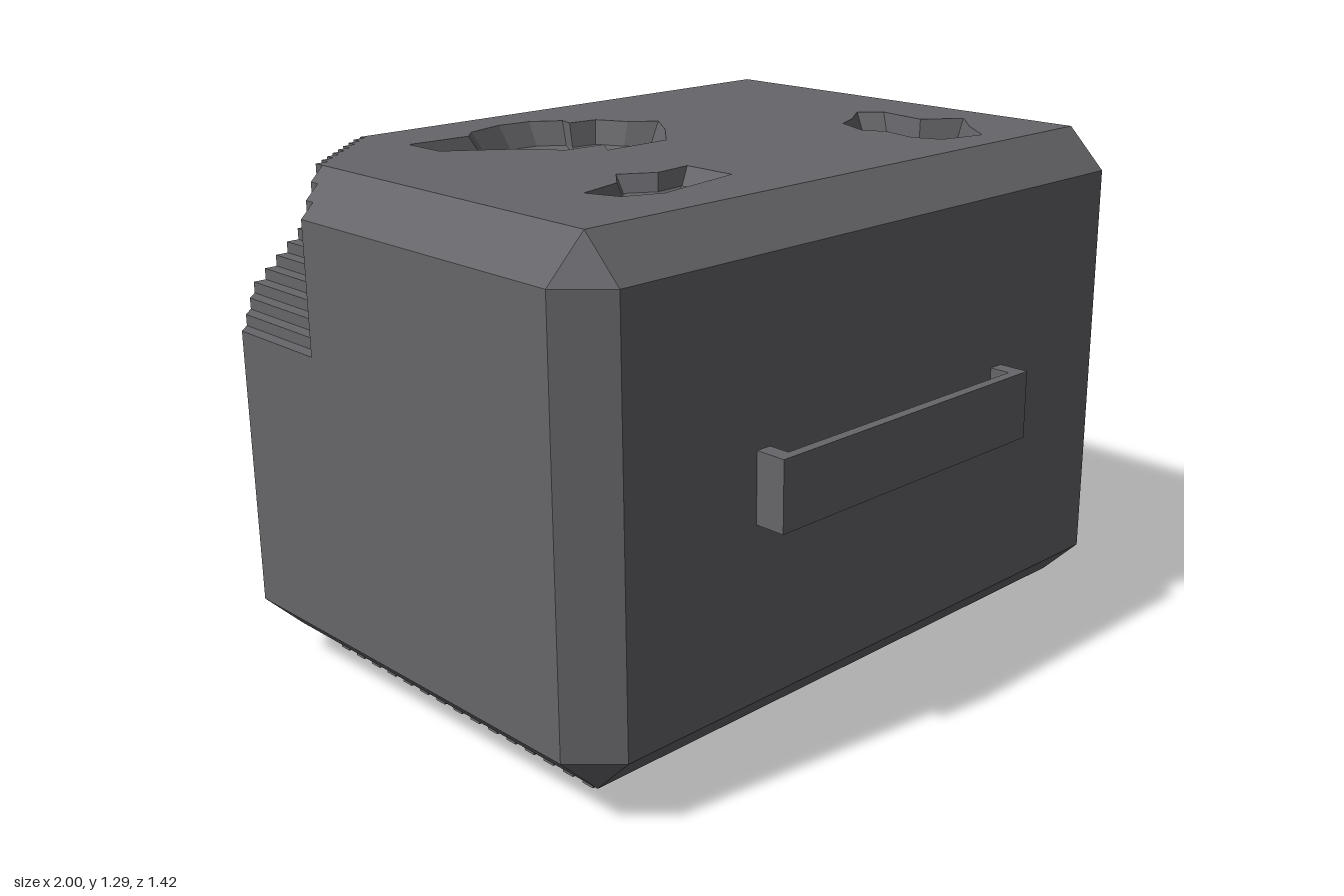
import * as THREE from 'three';
import { mergeGeometries } from 'three/addons/utils/BufferGeometryUtils.js';

const mat = new THREE.MeshStandardMaterial({ color: 0x66666a, flatShading: true });
const V = (x, y) => new THREE.Vector2(x, y);

// Body extents and chamfer
const X0 = -1, X1 = 0.83, Y0 = 0.07, Y1 = 1.29, Z0 = -0.71, Z1 = 0.635, C = 0.1;
// Stepped notch in one top corner
const STEPS = 11, stepX = i => X0 + i * C / 3;
const cutZ = i => -0.31 - 0.028 * i, cutY = i => 0.87 + 0.028 * i;

// Each plane maps flat (s, t) coordinates, facing +z, onto a side of the body
const planes = {
  top: g => g.rotateX(-Math.PI / 2).translate(0, Y1, 0),
  back: g => g.rotateY(Math.PI).translate(0, 0, Z0),
  right: x => g => g.rotateY(Math.PI / 2).translate(x, 0, 0),
  left: x => g => g.rotateY(-Math.PI / 2).translate(x, 0, 0),
};

function bare(g) {
  const n = g.index ? g.toNonIndexed() : g;
  n.deleteAttribute('uv');
  n.computeVertexNormals();
  return n;
}

function flat(points, holes, place) {
  const shape = new THREE.Shape(points);
  shape.holes = holes.map(h => new THREE.Path(h));
  return bare(place(new THREE.ShapeGeometry(shape)));
}

// Strips of quads between point loops; skip leaves out chosen sides
function loft(loops, closed, skip = () => false) {
  const pos = [];
  for (let k = 0; k + 1 < loops.length; k++) {
    const A = loops[k], B = loops[k + 1];
    for (let j = 0; j < A.length; j++) {
      if (skip(j)) continue;
      const n = (j + 1) % A.length;
      for (const p of [A[j], A[n], B[n], A[j], B[n], B[j]]) pos.push(...p);
    }
  }
  const g = new THREE.BufferGeometry();
  g.setAttribute('position', new THREE.Float32BufferAttribute(pos, 3));
  g.computeVertexNormals();
  return g;
}

// Cross-section [z, y] of the chamfered body at x, optionally notched
function section(x, step) {
  const d = Math.max(0, X0 + C - x, x - (X1 - C)), leg = C - d;
  const zb = Z0 + d, zf = Z1 - d, yb = Y0 + d, yt = Y1 - d;
  const cut = step < STEPS;
  const zc = cut ? cutZ(step) : zb + leg, yc = cut ? cutY(step) : yt - leg;
  const corner = cut ? [zc, yc] : [zb + leg / 2, yt - leg / 2];
  return [[zb, yb + leg], [zb, yc], corner, [zc, yt], [zf - leg, yt],
    [zf, yt - leg], [zf, yb + leg], [zf - leg, yb], [zb + leg, yb]];
}

// Irregular pit: the outline shrinks in terraces towards its floor
function crater(outline, centre, rings, place) {
  const pts = THREE.ShapeUtils.isClockWise(outline) ? outline.slice().reverse() : outline;
  const loops = rings.map(([s, d]) =>
    pts.map(p => [centre.x + (p.x - centre.x) * s, centre.y + (p.y - centre.y) * s, -d]));
  const last = loops[loops.length - 1];
  const floor = new THREE.ShapeGeometry(new THREE.Shape(last.map(p => V(p[0], p[1]))));
  floor.translate(0, 0, last[0][2]);
  return [bare(place(loft(loops))), bare(place(floor))];
}

function createBody() {
  const parts = [];
  const at = (x, s) => section(x, s).map(([z, y]) => [x, y, z]);
  // Notched slices, then the plain remainder
  for (let i = 0; i < STEPS; i++) {
    parts.push(loft([at(stepX(i), i), at(stepX(i + 1), i)], true,
      j => i >= 3 && (j === 0 || j === 3)));
    // Riser to the next step
    const x = stepX(i + 1), a = section(x, i), b = section(x, i + 1);
    parts.push(flat([a[1], a[2], a[3], b[3], b[2], b[1]].map(p => V(...p)), [], planes.left(x)));
  }
  const xe = stepX(STEPS);
  parts.push(loft([at(xe, STEPS), at(X1 - C, STEPS)], true, j => j === 0 || j === 3));
  parts.push(loft([at(X1 - C, STEPS), at(X1, STEPS)], true));
  // End faces
  const cornersL = section(X0, 0).filter((p, i) => [0, 1, 2, 3, 4, 6].includes(i));
  parts.push(flat(cornersL.map(p => V(...p)), [], planes.left(X0)));
  const cornersR = section(X1, STEPS).filter((p, i) => [0, 3, 4, 6].includes(i));
  parts.push(flat(cornersR.map(([z, y]) => V(-z, y)), [], planes.right(X1)));

  // Craters: [x, z] on top, [-x, y] on the back
  const list = a => a.map(([x, z]) => V(x, -z));
  const large = list([[-.61, -.44], [-.44, -.43], [-.40, -.47], [-.29, -.50], [-.20, -.49], [-.13, -.44],
    [-.14, -.40], [-.06, -.39], [-.02, -.31], [.04, -.26], [-.03, -.16], [-.13, -.05], [-.32, -.05],
    [-.28, -.11], [-.39, -.12], [-.45, -.20], [-.50, -.24], [-.61, -.32]]);
  const small = list([[-.68, .28], [-.56, .25], [-.50, .18], [-.42, .23], [-.32, .22], [-.32, .36],
    [-.56, .40], [-.65, .36]]);
  const medium = list([[.51, .01], [.56, .06], [.54, .20], [.63, .27], [.54, .36], [.47, .45],
    [.35, .42], [.32, .35], [.34, .25], [.31, .20], [.35, .10], [.42, .07]]);
  const rear = [[-.226, .73], [-.11, .815], [-.006, .79], [.115, .80], [.26, .84], [.197, .725],
    [.29, .66], [.156, .55], [.03, .585], [-.11, .61], [-.21, .635]].map(p => V(...p));
  parts.push(...crater(large, V(-.2, .25),
    [[1, 0], [.88, .06], [.7, .07], [.59, .12], [.4, .13], [.28, .17]], planes.top));
  parts.push(...crater(small, V(-.49, -.3), [[1, 0], [.82, .04], [.6, .05], [.45, .08]], planes.top));
  parts.push(...crater(medium, V(.46, -.25),
    [[1, 0], [.85, .07], [.62, .08], [.5, .12], [.32, .13]], planes.top));
  parts.push(...crater(rear, V(.03, .7), [[1, 0], [.85, .07], [.7, .08], [.55, .16]], planes.back));

  // Top and back faces with crater openings and stepped edges
  const top = [V(X0 + C, -(Z1 - C)), V(X1 - C, -(Z1 - C)), V(X1 - C, -(Z0 + C)), V(xe, -(Z0 + C))];
  const back = [V(-X0 - C, Y0 + C), V(-X1 + C, Y0 + C), V(-X1 + C, Y1 - C), V(-xe, Y1 - C)];
  for (let i = STEPS - 1; i >= 3; i--) {
    for (const x of [stepX(i + 1), stepX(i)]) {
      top.push(V(x, -cutZ(i)));
      back.push(V(-x, cutY(i)));
    }
  }
  parts.push(flat(top, [large, small, medium], planes.top));
  parts.push(flat(back, [rear], planes.back));
  return mergeGeometries(parts);
}

export function createModel() {
  const model = new THREE.Group();
  const add = (name, g, parent = model) => {
    const m = new THREE.Mesh(g, mat);
    m.name = name;
    parent.add(m);
    return m;
  };
  const box = (name, x0, x1, y0, y1, z0, z1, parent) =>
    add(name, new THREE.BoxGeometry(x1 - x0, y1 - y0, z1 - z0)
      .translate((x0 + x1) / 2, (y0 + y1) / 2, (z0 + z1) / 2), parent);
  const group = name => {
    const g = new THREE.Group();
    g.name = name;
    model.add(g);
    return g;
  };

  add('body', createBody());

  // Underside ribs, the front one broken in the middle
  const ribs = group('bottomRibs');
  for (let i = 0; i < 15; i++) {
    const z = 0.42 - i * 0.0677;
    const spans = i === 0 ? [[-.83, -.46], [-.395, -.36], [.19, .22], [.25, .655]]
      : i === 1 ? [[-.83, -.43], [.28, .655]] : [[-.83, .655]];
    for (const [a, b] of spans) box('rib', a, b, 0, Y0 + 0.005, z - 0.017, z + 0.017, ribs);
  }
  for (const [a, b] of [[-.33, -.3], [-.27, -.24], [-.17, .01], [.05, .08], [.12, .15]])
    box('ribStub', a, b, 0.055, Y0 + 0.005, 0.4, 0.46, ribs);

  // Front bar on two short legs
  const bar = group('frontHandle');
  box('bar', -.52, .34, .595, .765, .688, .713, bar);
  for (const x of [-.52, .3]) box('leg', x, x + .04, .595, .765, Z1 - .005, .69, bar);

  // Side handle: drilled outer plate, two chamfered ends and a back plate
  const handle = group('sideHandle');
  const W = .2025, H = .069, c = .025, D = .035;
  const plate = new THREE.Shape([V(W, -H + c), V(W, H - c), V(W - c, H), V(-W + c, H),
    V(-W, H - c), V(-W, -H + c), V(-W + c, -H), V(W - c, -H)]);
  for (const s of [-.103, .103]) plate.holes.push(new THREE.Path().absarc(s, 0, D, 0, Math.PI * 2, true));
  const pg = new THREE.ExtrudeGeometry(plate, { depth: D, bevelEnabled: false, curveSegments: 12 });
  const p = pg.attributes.position;
  for (let i = 0; i < p.count; i++) {
    const x = p.getX(i), y = p.getY(i);
    if (p.getZ(i) > D / 2 && (Math.abs(x) > .17 || Math.abs(y) > .05))
      p.setXY(i, x - Math.sign(x) * .018, y - Math.sign(y) * .018);
  }
  pg.computeVertexNormals();
  const place = (g, x) => g.rotateY(Math.PI / 2).translate(x, .682, -.0375);
  add('outerPlate', place(pg, 1 - D), handle);
  for (const s of [-1, 1]) {
    const end = new THREE.Shape([V(s * (W - .036), -H), V(s * (W - c), -H), V(s * W, -H + c),
      V(s * W, H - c), V(s * (W - c), H), V(s * (W - .036), H)]);
    add('handleEnd', place(new THREE.ExtrudeGeometry(end,
      { depth: 1 - D - X1 + .005, bevelEnabled: false }), X1 - .005), handle);
  }
  box('backPlate', X1 - .005, .858, .613, .751, -.21, .135, handle);
  return model;
}
